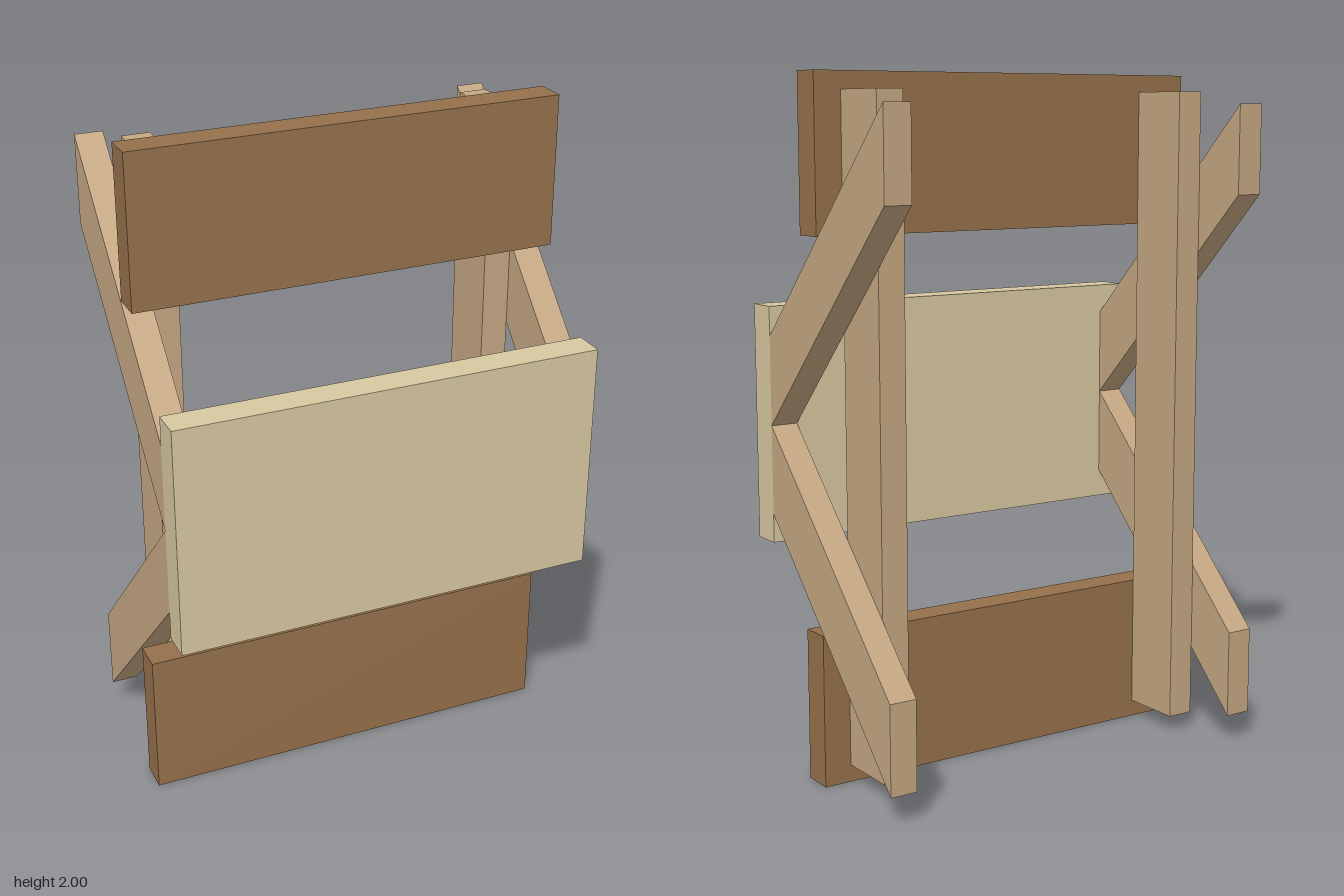
import * as THREE from 'three';

const material = (color) => new THREE.MeshStandardMaterial({ color, flatShading: true });

export function createModel() {
  const model = new THREE.Group();
  const seatWood = material(0x96714b);
  const topWood = material(0xd7c8a0);
  const frameWood = material(0xc5a782);

  const add = (name, geometry, mat) => {
    const mesh = new THREE.Mesh(geometry, mat);
    mesh.name = name;
    model.add(mesh);
  };

  // Box given by its limits on each axis
  const box = (x0, x1, y0, y1, z0, z1) =>
    new THREE.BoxGeometry(x1 - x0, y1 - y0, z1 - z0)
      .translate((x0 + x1) / 2, (y0 + y1) / 2, (z0 + z1) / 2);

  // Table standing on its side: two bench planks and the table top
  const W = 0.632;
  add('lowerBench', box(-W, W, 0, 0.443, -0.01, 0.083), seatWood);
  add('upperBench', box(-W, W, 1.557, 2, -0.01, 0.083), seatWood);
  add('tableTop', box(-W, W, 0.655, 1.345, 0.28, 0.374), topWood);

  // Slanted leg: parallelogram in the z-y plane, thick along x
  const leg = (side, dir) => {
    const corners = [[0.28, 0], [0.28, 0.26], [-0.374, 0.914], [-0.374, 0.654]];
    const shape = new THREE.Shape(corners.map(([z, y]) => new THREE.Vector2(z, 1 + dir * y)));
    return new THREE.ExtrudeGeometry(shape, { depth: 0.082, bevelEnabled: false })
      .translate(0, 0, -0.041)
      .rotateY(-Math.PI / 2)
      .translate(side * (W - 0.041), 0, 0);
  };

  for (const [label, side] of [['left', 1], ['right', -1]]) {
    // Bench support rail just inside the legs
    const inner = side * 0.469, outer = side * 0.55;
    add(label + 'BenchRail',
      box(Math.min(inner, outer), Math.max(inner, outer), 0.05, 1.95, -0.2, -0.01), frameWood);
    add(label + 'UpperLeg', leg(side, 1), frameWood);
    add(label + 'LowerLeg', leg(side, -1), frameWood);
  }

  return model;
}
